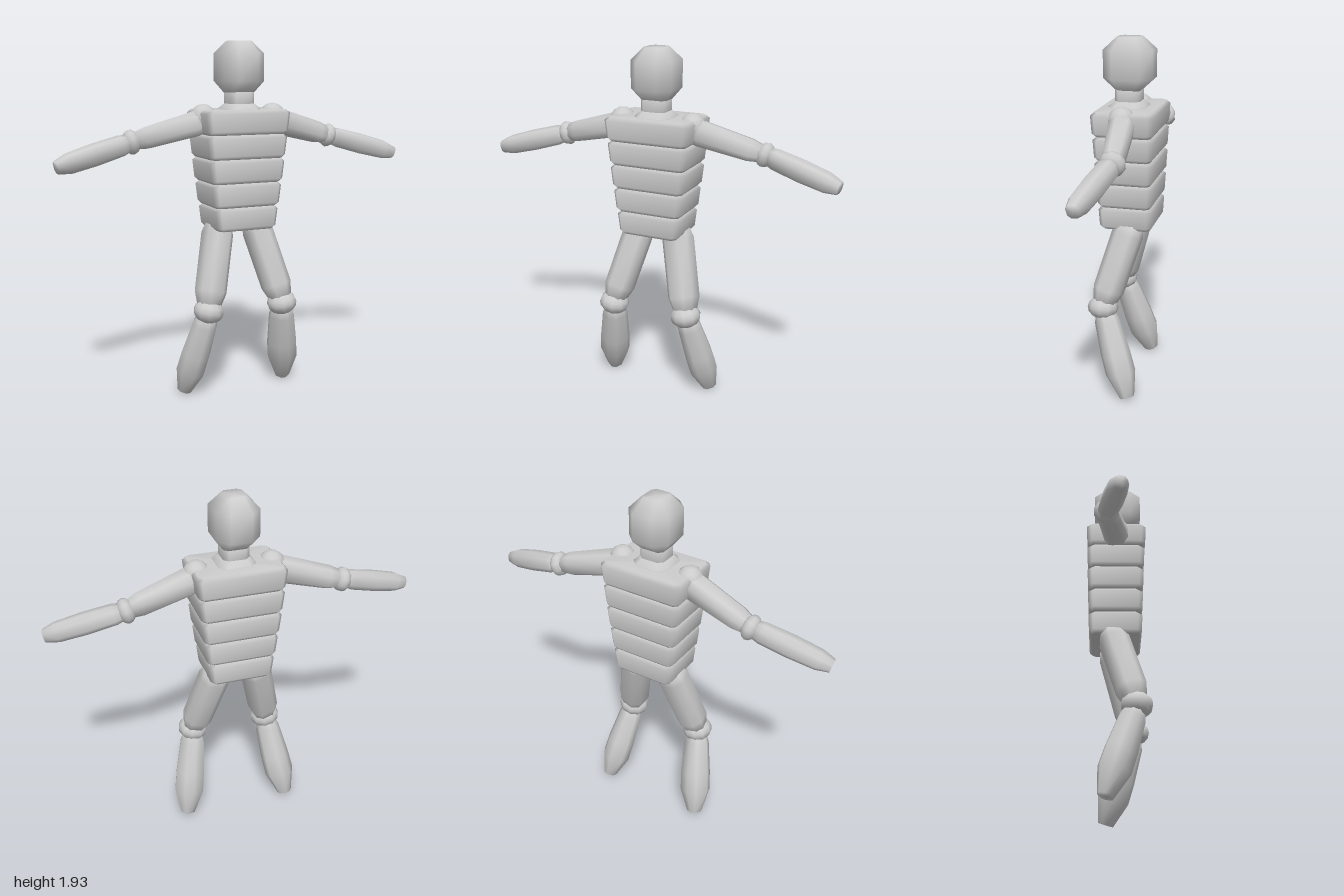
import * as THREE from 'three';

const material = new THREE.MeshStandardMaterial({ color: 0xcccccc });

// Smooth loft through corner-cut rectangles; ring = [y, halfX, halfZ, cut], bottom to top
function loft(rings) {
  const pos = [], idx = [];
  for (const [y, hx, hz, c] of rings) {
    const x = hx - c, z = hz - c;
    pos.push(hx, y, z, hx, y, -z, x, y, -hz, -x, y, -hz);
    pos.push(-hx, y, -z, -hx, y, z, -x, y, hz, x, y, hz);
  }
  const n = rings.length, bottom = n * 8, top = bottom + 1;
  pos.push(0, rings[0][0], 0, 0, rings[n - 1][0], 0);
  for (let j = 0; j < 8; j++) {
    const k = (j + 1) % 8;
    for (let i = 0; i < n - 1; i++) {
      const a = i * 8 + j, b = i * 8 + k;
      idx.push(a, b, b + 8, a, b + 8, a + 8);
    }
    idx.push(bottom, k, j, top, (n - 1) * 8 + j, (n - 1) * 8 + k);
  }
  const g = new THREE.BufferGeometry();
  g.setAttribute('position', new THREE.Float32BufferAttribute(pos, 3));
  g.setIndex(idx);
  g.computeVertexNormals();
  return g;
}

const UP = new THREE.Vector3(0, 1, 0);

function part(parent, name, geometry, position = [0, 0, 0], axis = null) {
  const mesh = new THREE.Mesh(geometry, material);
  mesh.name = name;
  mesh.position.set(...position);
  if (axis) mesh.quaternion.setFromUnitVectors(UP, axis);
  parent.add(mesh);
  return mesh;
}

// Limb segment from a to b; profile = [fraction along, half thickness]
function limb(parent, name, a, b, profile) {
  const axis = new THREE.Vector3(...b).sub(new THREE.Vector3(...a));
  const length = axis.length();
  const rings = profile.map(([t, r]) => [t * length, r, r, r * 0.5]);
  part(parent, name, loft(rings), a, axis.normalize());
}

// Ball joint, flattened along the limb direction
function joint(parent, name, center, radius, squash, direction) {
  const axis = new THREE.Vector3(...direction).normalize();
  const ball = part(parent, name, new THREE.SphereGeometry(radius, 10, 8), center, axis);
  ball.scale.y = squash;
}

export function createModel() {
  const figure = new THREE.Group();
  figure.name = 'figure';

  // Head, neck and collar
  part(figure, 'head', loft([
    [1.655, 0.066, 0.06, 0.02],
    [1.72, 0.115, 0.131, 0.06],
    [1.865, 0.115, 0.131, 0.06],
    [1.93, 0.055, 0.062, 0.02],
  ]), [0, 0, -0.003]);
  part(figure, 'neck', loft([
    [1.55, 0.07, 0.067, 0.025],
    [1.67, 0.07, 0.067, 0.025],
  ]));
  part(figure, 'collar', loft([
    [1.55, 0.105, 0.105, 0.04],
    [1.575, 0.1, 0.1, 0.04],
    [1.602, 0.07, 0.067, 0.025],
  ]));

  // Torso: stacked slabs, each with softened edges, narrowing to the waist
  const torso = new THREE.Group();
  torso.name = 'torso';
  figure.add(torso);
  const slabs = [ // bottom, top, half width, front z, back z
    [0.93, 1.056, 0.182, 0.130, -0.160],
    [1.056, 1.185, 0.200, 0.134, -0.164],
    [1.185, 1.314, 0.216, 0.139, -0.168],
    [1.314, 1.443, 0.229, 0.144, -0.171],
    [1.443, 1.572, 0.241, 0.152, -0.175],
  ];
  slabs.forEach(([y0, y1, w, front, back], i) => {
    const d = (front - back) / 2, e = 0.018;
    part(torso, 'torsoSlab' + (i + 1), loft([
      [y0, w - 0.026, d - e, 0.02],
      [y0 + e, w - 0.01, d - 0.004, 0.024],
      [y1 - e, w, d, 0.024],
      [y1, w - e, d - e, 0.02],
    ]), [0, 0, (front + back) / 2]);
  });

  // Arms and legs, mirrored
  for (const s of [1, -1]) {
    const side = s > 0 ? 'left' : 'right';
    const shoulder = [0.203 * s, 1.53, -0.008];
    const elbow = [0.583 * s, 1.41, -0.065];
    const hand = [0.99 * s, 1.302, 0.0];
    const arm = new THREE.Group();
    arm.name = side + 'Arm';
    figure.add(arm);
    joint(arm, side + 'Shoulder', shoulder, 0.073, 1, [0, 1, 0]);
    limb(arm, side + 'UpperArm', [0.2 * s, 1.51, -0.01], elbow,
      [[0, 0.058], [0.12, 0.066], [0.8, 0.056], [0.97, 0.042]]);
    joint(arm, side + 'Elbow', elbow, 0.067, 0.68, [s, -0.27, 0]);
    limb(arm, side + 'Forearm', elbow, hand,
      [[0.03, 0.04], [0.14, 0.05], [0.5, 0.053], [0.84, 0.048], [1, 0.032]]);

    const knee = [0.22 * s, 0.5, 0.093];
    const leg = new THREE.Group();
    leg.name = side + 'Leg';
    figure.add(leg);
    limb(leg, side + 'Thigh', [0.108 * s, 0.95, -0.035], [0.217 * s, 0.52, 0.088],
      [[0, 0.062], [0.12, 0.078], [0.82, 0.077], [1, 0.055]]);
    joint(leg, side + 'Knee', knee, 0.084, 0.78, [0.2 * s, -1, 0]);
    limb(leg, side + 'Shin', [0.222 * s, 0.48, 0.085], [0.306 * s, 0.015, -0.062],
      [[0, 0.045], [0.12, 0.063], [0.5, 0.075], [0.72, 0.076], [1, 0.038]]);
  }
  return figure;
}
